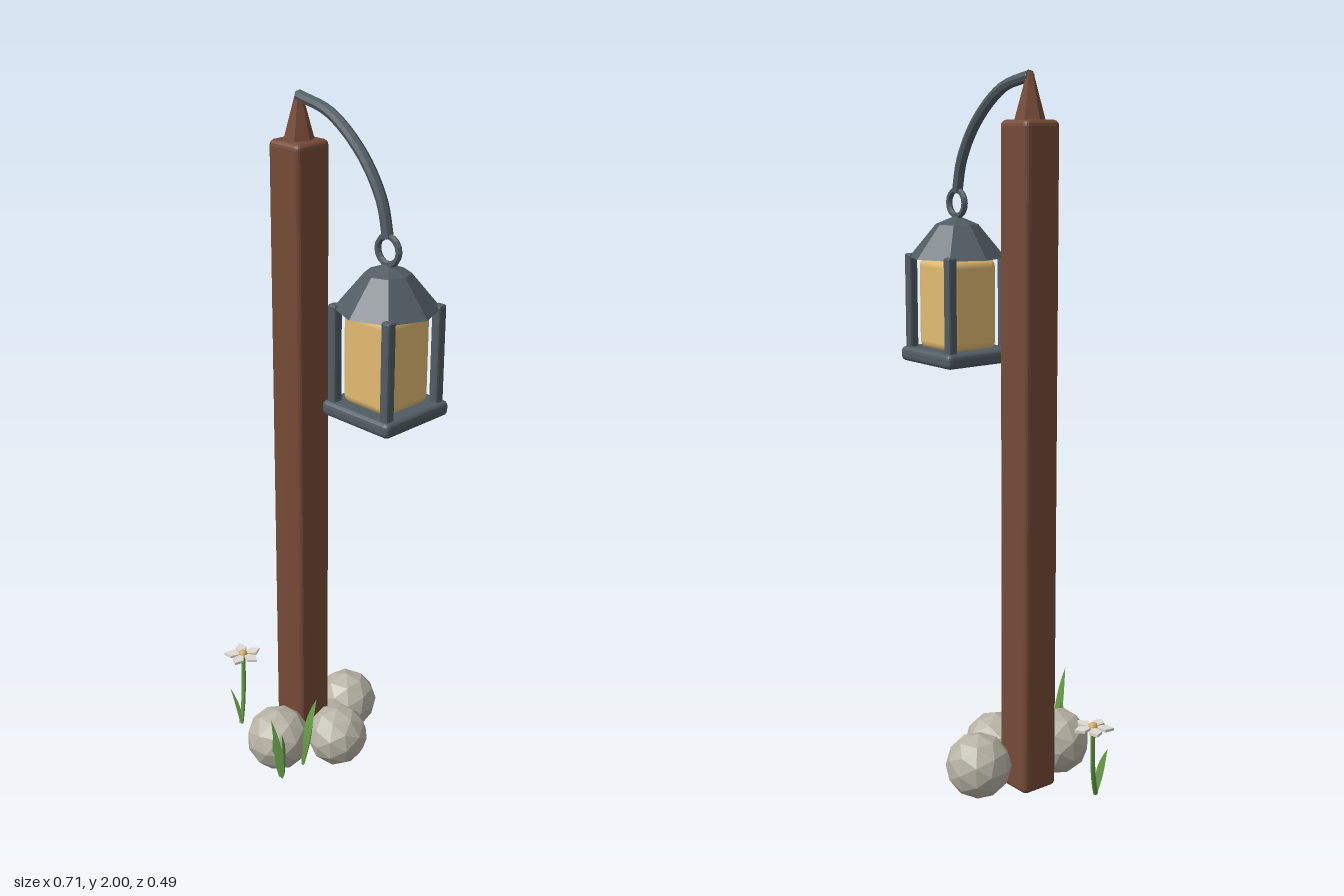
import * as THREE from 'three';
import { RoundedBoxGeometry } from 'three/addons/geometries/RoundedBoxGeometry.js';

const mat = (name, color, opts = {}) => {
  const m = new THREE.MeshStandardMaterial({ color, ...opts });
  m.name = name;
  return m;
};
const V = (x, y, z) => new THREE.Vector3(x, y, z);

export function createModel() {
  const root = new THREE.Group();
  root.name = 'lampPost';
  const wood = mat('wood', 0x754a37, { flatShading: true });
  const iron = mat('iron', 0x505c63, { flatShading: true });
  const glass = mat('glass', 0xe2bb72);
  const stone = mat('stone', 0xb6b2a4, { flatShading: true });
  const leaf = mat('leaf', 0x639845, { side: THREE.DoubleSide });
  const petalMat = mat('petal', 0xdedad0, { flatShading: true });
  const pollen = mat('pollen', 0xd0aa62);

  const add = (parent, name, geo, material, x = 0, y = 0, z = 0) => {
    const m = new THREE.Mesh(geo, material);
    m.name = name;
    m.position.set(x, y, z);
    parent.add(m);
    return m;
  };
  const group = (name, x, y, z) => {
    const g = new THREE.Group();
    g.name = name;
    g.position.set(x, y, z);
    root.add(g);
    return g;
  };
  const Z = -0.012;

  // Square post with a pointed six-sided cap
  add(root, 'post', new RoundedBoxGeometry(0.116, 1.85, 0.116, 2, 0.016), wood, -0.105, 0.95, Z);
  add(root, 'postPoint', new THREE.CylinderGeometry(0.008, 0.042, 0.125, 6, 1, false, Math.PI / 2),
    wood, -0.105, 1.9325, Z);

  // Curved arm and its end caps
  const armPath = new THREE.CatmullRomCurve3([
    V(-0.105, 1.985, Z), V(0.01, 1.957, Z), V(0.122, 1.872, Z), V(0.19, 1.77, Z), V(0.213, 1.68, Z),
  ]);
  add(root, 'arm', new THREE.TubeGeometry(armPath, 20, 0.015, 8), iron);
  const ends = [[0, -1], [1, 1]];
  for (const [t, dir] of ends) {
    const cap = add(root, 'armEnd', new THREE.CircleGeometry(0.015, 8), iron);
    cap.position.copy(armPath.getPointAt(t));
    cap.quaternion.setFromUnitVectors(V(0, 0, 1), armPath.getTangentAt(t).multiplyScalar(dir));
  }

  // Hanging lantern
  const lantern = group('lantern', 0.215, 0, Z);
  add(lantern, 'ring', new THREE.TorusGeometry(0.036, 0.009, 6, 16), iron, 0, 1.65, 0);
  const roof = [[0, 1.5], [0.137, 1.5], [0.06, 1.592], [0, 1.617]].map(p => new THREE.Vector2(...p));
  add(lantern, 'roof', new THREE.LatheGeometry(roof, 8), iron);
  add(lantern, 'glass', new RoundedBoxGeometry(0.166, 0.26, 0.166, 2, 0.026), glass, 0, 1.37, 0);
  add(lantern, 'base', new RoundedBoxGeometry(0.238, 0.042, 0.238, 2, 0.015), iron, 0, 1.226, 0);
  for (const sx of [-1, 1]) for (const sz of [-1, 1]) {
    add(lantern, 'cornerBar', new RoundedBoxGeometry(0.028, 0.28, 0.028, 1, 0.006), iron,
      sx * 0.093, 1.37, sz * 0.093);
  }

  // Stones around the foot
  const stones = [[-0.057, 0.105, -0.152, 0.093, 0.3], [0.045, 0.096, -0.011, 0.092, 1.1], [-0.062, 0.101, 0.131, 0.096, 2]];
  for (const [x, y, z, r, turn] of stones) {
    add(root, 'stone', new THREE.IcosahedronGeometry(r, 1), stone, x, y, z).rotation.y = turn;
  }

  // Tapered, folded blade swept from base to tip through a bend point
  function blade(base, mid, tip, width, angle) {
    const curve = new THREE.QuadraticBezierCurve3(base, mid, tip);
    const side = V(Math.cos(angle), 0, Math.sin(angle));
    const fold = V(-side.z, 0, side.x);
    const pos = [], index = [], n = 6;
    for (let i = 0; i <= n; i++) {
      const t = i / n, c = curve.getPoint(t);
      const w = width / 2 * Math.sin(Math.PI * (0.1 + 0.9 * t));
      for (const s of [-1, 0, 1]) {
        const p = c.clone().addScaledVector(side, s * w).addScaledVector(fold, s === 0 ? w * 0.35 : 0);
        pos.push(p.x, p.y, p.z);
      }
      if (i < n) for (let k = 0; k < 2; k++) {
        const a = i * 3 + k;
        index.push(a, a + 1, a + 3, a + 1, a + 4, a + 3);
      }
    }
    const g = new THREE.BufferGeometry();
    g.setAttribute('position', new THREE.Float32BufferAttribute(pos, 3));
    g.setIndex(index);
    g.computeVertexNormals();
    return g;
  }

  // Two grass tufts leaning away from each other
  const front = group('frontGrass', 0.015, 0.025, 0.19);
  add(front, 'grassBlade', blade(V(0, 0, 0), V(0.005, 0.14, 0.015), V(0.018, 0.245, 0.055), 0.045, 0.2), leaf);
  add(front, 'grassBlade', blade(V(0.01, 0.01, 0), V(0.02, 0.1, 0), V(0.035, 0.19, 0.03), 0.04, 0.9), leaf);
  add(front, 'grassBlade', blade(V(-0.005, 0, 0), V(-0.01, 0.09, 0), V(-0.012, 0.16, 0.02), 0.035, -0.5), leaf);
  const back = group('sideGrass', 0.025, 0.04, 0.105);
  add(back, 'grassBlade', blade(V(0, 0, 0.01), V(0.005, 0.13, 0), V(0.015, 0.22, -0.035), 0.045, 0.3), leaf);
  add(back, 'grassBlade', blade(V(0.005, 0, 0.01), V(0.015, 0.08, 0), V(0.02, 0.16, -0.015), 0.035, 1.2), leaf);

  // Flower: stem, leaf, five petals and a centre
  const stem = new THREE.QuadraticBezierCurve3(V(-0.272, 0.025, 0.098), V(-0.295, 0.1, 0.06), V(-0.305, 0.243, 0.055));
  add(root, 'flowerStem', new THREE.TubeGeometry(stem, 8, 0.007, 5), leaf);
  add(root, 'flowerLeaf', blade(V(-0.274, 0.025, 0.098), V(-0.28, 0.1, 0.1), V(-0.293, 0.16, 0.122), 0.036, 0.2), leaf);
  const flower = group('flowerHead', -0.305, 0.243, 0.055);
  const outline = new THREE.Shape([[0.008, -0.005], [0.036, -0.018], [0.058, 0], [0.036, 0.018], [0.008, 0.005]]
    .map(p => new THREE.Vector2(...p)));
  const petal = new THREE.ExtrudeGeometry(outline, { depth: 0.008, bevelEnabled: false }).rotateX(-Math.PI / 2);
  for (let i = 0; i < 5; i++) add(flower, 'petal', petal, petalMat).rotation.y = 0.1 + i * Math.PI * 0.4;
  add(flower, 'flowerCentre', new THREE.SphereGeometry(0.014, 10, 6), pollen, 0, 0.006, 0);

  return root;
}
